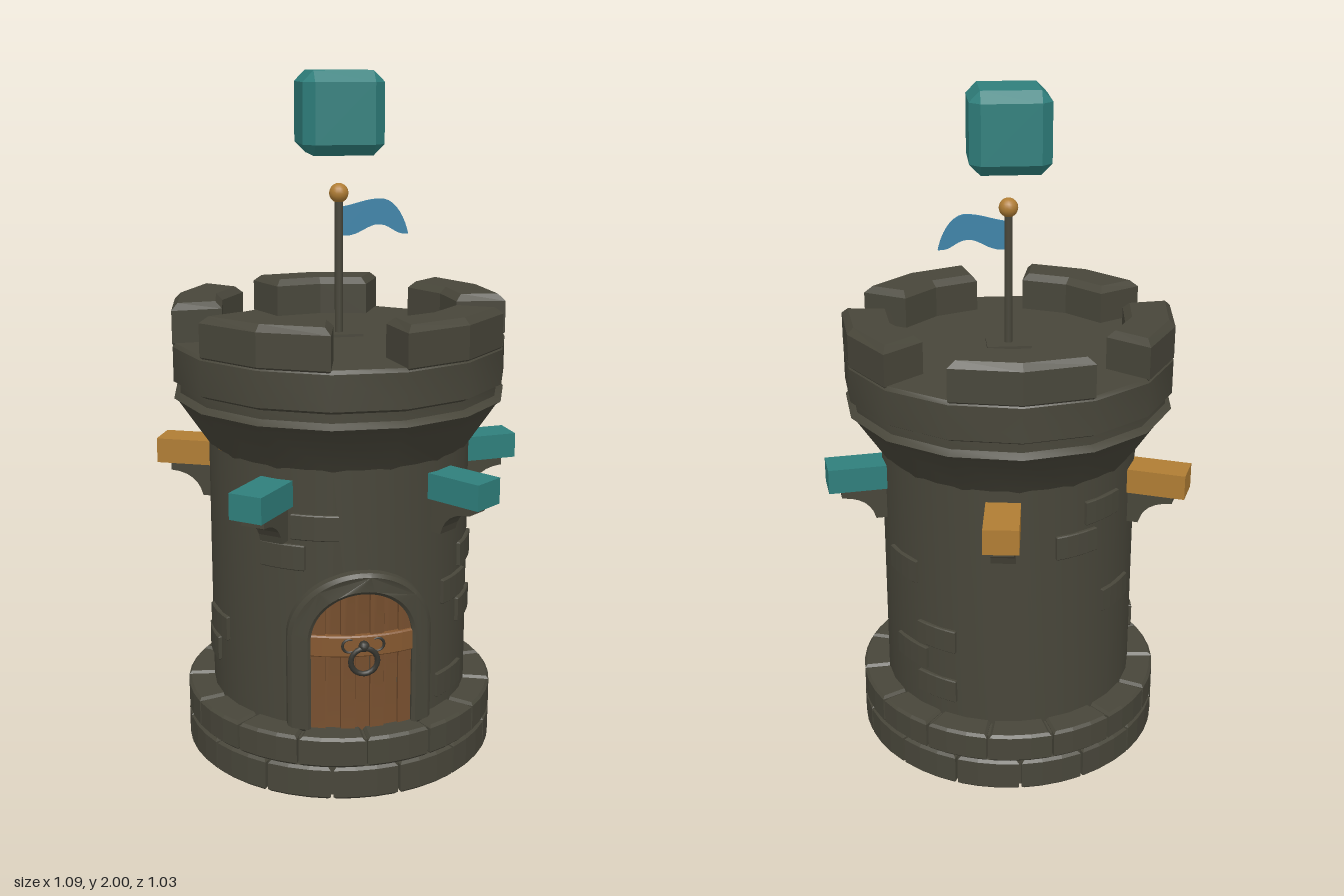
import * as THREE from 'three';
import { toCreasedNormals } from 'three/addons/utils/BufferGeometryUtils.js';
import { ConvexGeometry } from 'three/addons/geometries/ConvexGeometry.js';

const R = 0.385; // wall radius
const rad = THREE.MathUtils.degToRad;

function material(name, color, side = THREE.FrontSide) {
  const m = new THREE.MeshStandardMaterial({ color, side });
  m.name = name;
  return m;
}

function add(parent, name, geometry, mat, x = 0, y = 0, z = 0) {
  const mesh = new THREE.Mesh(geometry, mat);
  mesh.name = name;
  mesh.position.set(x, y, z);
  parent.add(mesh);
  return mesh;
}

// Curved block around the axis; angles in degrees, 0 = front, 90 = +x
function arcBlock(rIn, rOut, y0, y1, mid, width, steps, bevel) {
  const at = (r, i) => {
    const a = rad(mid - width / 2 + (width * i) / steps);
    return new THREE.Vector2(r * Math.sin(a), -r * Math.cos(a));
  };
  const pts = [];
  for (let i = 0; i <= steps; i++) pts.push(at(rOut, i));
  for (let i = steps; i >= 0; i--) pts.push(at(rIn, i));
  const geo = new THREE.ExtrudeGeometry(new THREE.Shape(pts), {
    depth: y1 - y0 - 2 * bevel, bevelEnabled: bevel > 0, bevelSegments: 1,
    bevelSize: bevel, bevelThickness: bevel, bevelOffset: -bevel,
  });
  return geo.rotateX(-Math.PI / 2).translate(0, y0 + bevel, 0);
}

// Extrude an upright shape and wrap it onto the front of the wall
function wrapped(shape, z0, z1, bevel = 0) {
  const geo = new THREE.ExtrudeGeometry(shape, {
    depth: z1 - z0 - bevel, curveSegments: 16, bevelEnabled: bevel > 0, bevelSegments: 1,
    bevelSize: bevel, bevelThickness: bevel, bevelOffset: -bevel,
  });
  const p = geo.attributes.position;
  for (let i = 0; i < p.count; i++) {
    const x = p.getX(i);
    p.setZ(i, p.getZ(i) + z0 + Math.sqrt(R * R - x * x));
  }
  geo.computeVertexNormals();
  return toCreasedNormals(geo, 0.5);
}

function lathe(points, segments) {
  const pts = points.map(([r, y]) => new THREE.Vector2(r, y));
  return toCreasedNormals(new THREE.LatheGeometry(pts, segments, Math.PI), 0.5);
}

export function createModel() {
  const root = new THREE.Group();
  root.name = 'tower';
  const g = new THREE.Group();
  g.name = 'towerParts';
  g.position.set(-0.012, 0, 0.036);
  root.add(g);

  const stone = material('stone', 0x48463a);
  const wall = material('wallStone', 0x48463a, THREE.DoubleSide);
  const teal = material('teal', 0x2f7f7c);
  const gold = material('gold', 0xb07d34);
  const wood = material('wood', 0x78502f);
  const band = material('lightWood', 0x855830);
  const iron = material('iron', 0x35342e);
  const cloth = material('blueCloth', 0x3d83a8, THREE.DoubleSide);

  // Hollow wall, flared crown and roof
  add(g, 'wall', lathe([[R, 0.1], [R, 0.95]], 30), wall);
  add(g, 'crown', lathe([[R, 0.945], [0.475, 1.08], [0.489, 1.09], [0.47, 1.105], [0.47, 1.13],
    [0.489, 1.14], [0.489, 1.24], [0.48, 1.25], [0, 1.25]], 15), wall);

  // Battlements
  for (let i = 0; i < 5; i++) {
    add(g, 'merlon', arcBlock(0.345, 0.49, 1.23, 1.362, 180 + i * 72, 48, 2, 0.019), stone);
  }

  // Two staggered courses of foundation blocks over a solid ring
  add(g, 'foundationCore', lathe([[0.345, 0.01], [0.447, 0.01], [0.447, 0.18], [0.345, 0.18], [0.345, 0.01]], 30), stone);
  for (let row = 0; row < 2; row++) {
    for (let i = 0; i < 15; i++) {
      add(g, 'foundationBlock', arcBlock(0.335, 0.464, row * 0.098 + 0.002, row * 0.09 + 0.1,
        i * 24 + row * 12, 23, 3, 0.008), stone);
    }
  }

  // Raised bricks: angle, height
  const bricks = [[64, 0.63], [63, 0.46], [50, 0.545], [47, 0.26], [122, 0.64], [142, 0.445],
    [127, 0.36], [142, 0.275], [-19.5, 0.785], [-33.6, 0.695], [284, 0.415], [275, 0.33],
    [220, 0.85], [206, 0.76], [231, 0.54]];
  for (const [a, y] of bricks) {
    add(g, 'brick', arcBlock(R - 0.02, R + 0.009, y - 0.037, y + 0.037, a, 20, 4, 0.003), stone);
  }

  // Beams on curved brackets
  const profile = new THREE.Shape();
  profile.moveTo(0.37, 0.842);
  profile.lineTo(0.515, 0.842);
  profile.lineTo(0.515, 0.815);
  profile.quadraticCurveTo(0.43, 0.81, 0.415, 0.74);
  profile.lineTo(0.37, 0.74);
  const bracketGeo = new THREE.ExtrudeGeometry(profile, { depth: 0.07, bevelEnabled: false, curveSegments: 6 });
  bracketGeo.translate(0, 0, -0.035).rotateY(-Math.PI / 2);
  const beams = [[38.2, teal], [98.3, teal], [173.3, gold], [248.4, gold], [323.6, teal]];
  for (const [a, mat] of beams) {
    const arm = new THREE.Group();
    arm.name = 'bracketArm';
    arm.rotation.y = rad(a);
    add(arm, 'beam', new THREE.BoxGeometry(0.1, 0.075, 0.175), mat, 0, 0.878, 0.466);
    add(arm, 'bracket', bracketGeo, stone);
    g.add(arm);
  }

  // Door surround
  const spring = 0.455, inner = 0.145, outer = 0.207;
  const arch = new THREE.Shape();
  arch.moveTo(outer, 0.18);
  arch.lineTo(outer, spring);
  arch.absarc(0, spring, outer, 0, Math.PI, false);
  arch.lineTo(-outer, 0.18);
  arch.lineTo(-inner, 0.18);
  arch.lineTo(-inner, spring);
  arch.absarc(0, spring, inner, Math.PI, 0, true);
  arch.lineTo(inner, 0.18);
  add(g, 'doorArch', wrapped(arch, -0.03, 0.035, 0.01), stone);

  // Planks, alternately set forward and back
  const w = (2 * inner) / 7;
  for (let i = 0; i < 7; i++) {
    const x0 = -inner + i * w + 0.001, x1 = x0 + w - 0.002;
    const pts = [new THREE.Vector2(x0, 0.18), new THREE.Vector2(x1, 0.18)];
    for (let k = 0; k <= 4; k++) {
      const x = x1 + ((x0 - x1) * k) / 4;
      pts.push(new THREE.Vector2(x, spring + Math.sqrt(Math.max(0, inner * inner - x * x)) + 0.004));
    }
    add(g, 'doorPlank', wrapped(new THREE.Shape(pts), -0.02, i % 2 ? 0.006 : 0.014), wood);
  }
  add(g, 'doorBand', arcBlock(R, R + 0.024, 0.412, 0.475, 0, 43, 8, 0.004), band);

  // Ring handle with scrolls
  add(g, 'handleRing', new THREE.TorusGeometry(0.038, 0.008, 8, 20), iron, 0, 0.405, 0.42);
  add(g, 'handleKnob', new THREE.SphereGeometry(0.016, 10, 8), iron, 0, 0.447, 0.415);
  for (const s of [-1, 1]) {
    add(g, 'handleScroll', new THREE.TorusGeometry(0.019, 0.004, 6, 12, Math.PI * 1.3), iron, s * 0.04, 0.447, 0.405)
      .rotation.z = s > 0 ? -Math.PI * 0.65 : Math.PI * 0.35;
  }

  // Flagpole
  add(g, 'poleBase', new THREE.BoxGeometry(0.13, 0.012, 0.09), stone, 0, 1.252, 0);
  add(g, 'flagpole', new THREE.CylinderGeometry(0.012, 0.012, 0.41, 12), stone, 0, 1.45, 0);
  add(g, 'poleBall', new THREE.SphereGeometry(0.028, 16, 12), gold, 0, 1.66, 0);

  // Waving pennant
  const flag = new THREE.Shape();
  flag.moveTo(0, 1.62);
  flag.bezierCurveTo(0.05, 1.625, 0.08, 1.645, 0.13, 1.642);
  flag.bezierCurveTo(0.17, 1.635, 0.195, 1.58, 0.203, 1.54);
  flag.bezierCurveTo(0.16, 1.535, 0.15, 1.575, 0.105, 1.568);
  flag.bezierCurveTo(0.07, 1.56, 0.05, 1.53, 0, 1.54);
  add(g, 'pennant', new THREE.ExtrudeGeometry(flag, { depth: 0.007, bevelEnabled: false, curveSegments: 8 }),
    cloth, 0, 0, -0.0035);

  // Floating chamfered cube
  const corners = [];
  const a = 0.115, b = 0.084;
  for (const x of [-1, 1]) for (const y of [-1, 1]) for (const z of [-1, 1]) {
    corners.push(new THREE.Vector3(x * a, y * b, z * b), new THREE.Vector3(x * b, y * a, z * b),
      new THREE.Vector3(x * b, y * b, z * a));
  }
  add(g, 'floatingCube', new ConvexGeometry(corners), teal, 0, 1.885, 0);

  return root;
}
